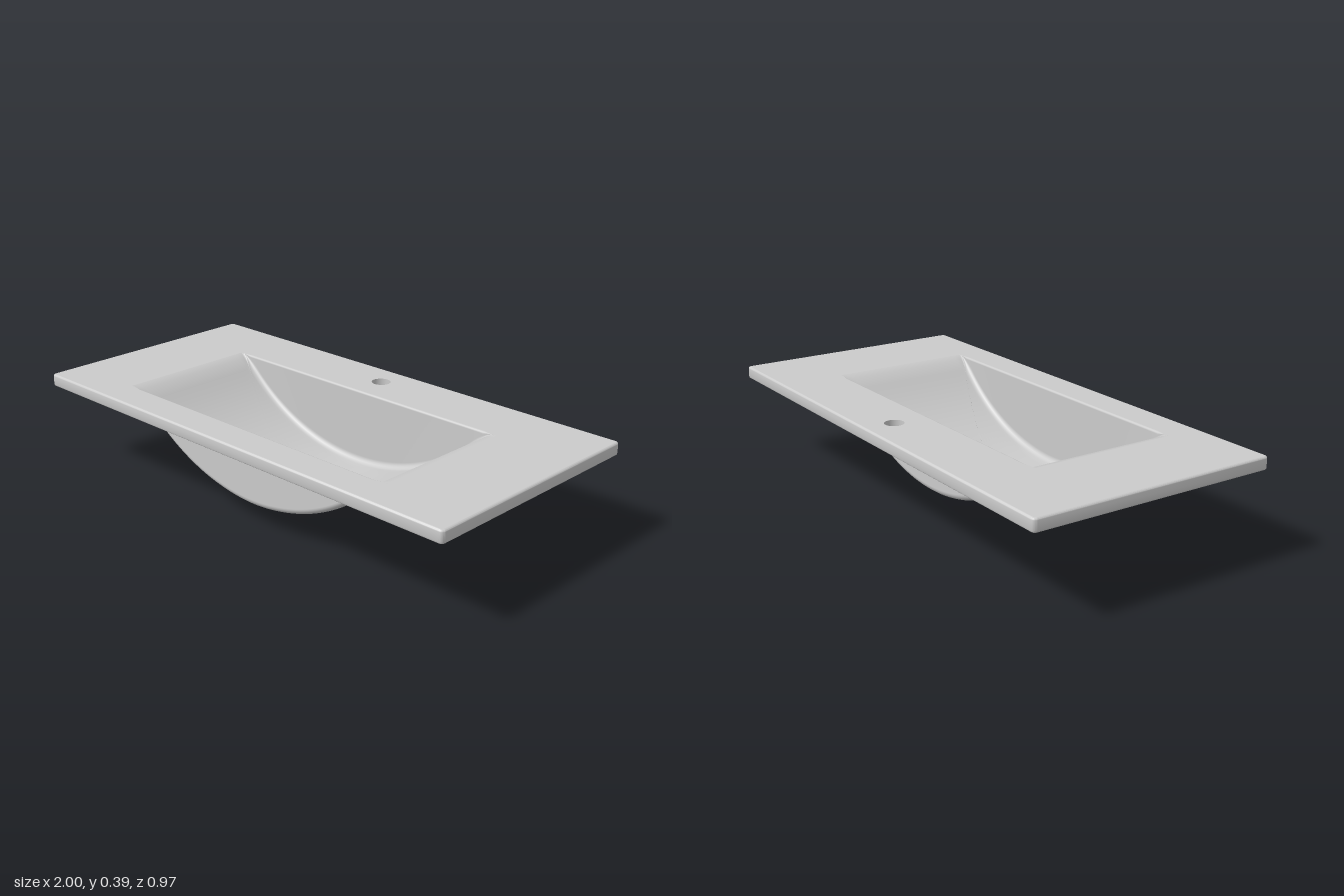
import * as THREE from 'three';
import { toCreasedNormals } from 'three/addons/utils/BufferGeometryUtils.js';

const TOP = 0.386, BOTTOM = 0.337, RECESS = 0.347; // countertop levels
const HX = 1, HZ = 0.485;                          // countertop half sizes
const DRAIN_Z = 0.08, DRAIN_R = 0.045;
const TAP = { z: -0.365, r: 0.037 };
const BACK = -0.226, FRONT = 0.347, END = 0.66;    // basin footprint
const ARC_R = 0.828, FLOOR = 0.095;

const material = new THREE.MeshStandardMaterial({ color: 0xcccccc });
const thin = new THREE.MeshStandardMaterial({ color: 0xcccccc, side: THREE.DoubleSide });

function addMesh(group, name, geometry, mat = material) {
  const mesh = new THREE.Mesh(geometry, mat);
  mesh.name = name;
  group.add(mesh);
  return mesh;
}

// Skin a series of closed rings of [x, y, z] points
function loft(rings) {
  const n = rings[0].length, index = [];
  for (let i = 0; i < rings.length - 1; i++) {
    for (let j = 0; j < n; j++) {
      const k = (j + 1) % n;
      const a = i * n + j, b = i * n + k, c = a + n, d = b + n;
      index.push(a, b, c, b, d, c);
    }
  }
  const geo = new THREE.BufferGeometry();
  geo.setAttribute('position', new THREE.Float32BufferAttribute(rings.flat(2), 3));
  geo.setIndex(index);
  geo.computeVertexNormals();
  return geo;
}

// Rounded rectangle ring at height y
function rectRing(hx, hz, r, y) {
  const ring = [];
  [[-1, -1], [1, -1], [1, 1], [-1, 1]].forEach(([sx, sz], c) => {
    for (let i = 0; i <= 5; i++) {
      const a = Math.PI + (c + i / 5) * Math.PI / 2;
      ring.push([sx * (hx - r) + r * Math.cos(a), y, sz * (hz - r) + r * Math.sin(a)]);
    }
  });
  return ring;
}

// Flat face with a basin opening and a tap hole, facing up (1) or down (-1)
function flatFace(outline, opening, y, facing) {
  const flat = (ring) => ring.map(([x, , z]) => new THREE.Vector2(x, -facing * z));
  const shape = new THREE.Shape(flat(outline));
  shape.holes.push(new THREE.Path(flat(opening)));
  shape.holes.push(new THREE.Path().absarc(0, -facing * TAP.z, TAP.r, 0, Math.PI * 2, true));
  return new THREE.ShapeGeometry(shape, 24).rotateX(-facing * Math.PI / 2).translate(0, y, 0);
}

// Basin floor: arc across x, sloping to the drain, blended softly into the top
function floorHeight(x, z) {
  const rho = Math.hypot(x, z - DRAIN_Z);
  const dip = 0.015 * Math.max(0, 1 - rho / 0.3) + 0.012 * Math.exp(-(rho - DRAIN_R) / 0.015);
  const y = FLOOR + ARC_R - Math.sqrt(ARC_R * ARC_R - x * x) - dip;
  const k = 0.025, h = Math.max(k - Math.abs(y - TOP), 0) / k;
  return Math.min(y, TOP) - h * h * k / 4;
}

// Rings from the drain hole over the floor, up the walls and over the lip
function basinRings() {
  const edge = []; // points around the footprint: x, z and wall direction
  const nx = 72, nz = 24;
  for (let i = 0; i < nx; i++) edge.push([-END + 2 * END * i / nx, BACK, -1]);
  for (let i = 0; i < nz; i++) edge.push([END, BACK + (FRONT - BACK) * i / nz, 0]);
  for (let i = 0; i < nx; i++) edge.push([END - 2 * END * i / nx, FRONT, 1]);
  for (let i = 0; i < nz; i++) edge.push([-END, FRONT - (FRONT - BACK) * i / nz, 0]);
  const walls = edge.map(([x, z, s]) => {
    const y = floorHeight(x, z), depth = TOP - y;
    return { x, z, s, y, fillet: s ? Math.min(0.025, 0.45 * depth) : 0, lip: s ? Math.min(0.008, 0.3 * depth) : 0 };
  });
  const rings = [];
  const floorSteps = 26;
  for (let i = 0; i < floorSteps; i++) {
    const t = (i / floorSteps) ** 1.6;
    rings.push(walls.map((w) => {
      const z1 = w.z - w.s * w.fillet, a = Math.atan2(z1 - DRAIN_Z, w.x);
      const x = THREE.MathUtils.lerp(DRAIN_R * Math.cos(a), w.x, t);
      const z = THREE.MathUtils.lerp(DRAIN_Z + DRAIN_R * Math.sin(a), z1, t);
      return [x, floorHeight(x, z), z];
    }));
  }
  for (let i = 0; i <= 6; i++) {
    const a = i / 6 * Math.PI / 2;
    rings.push(walls.map((w) => [w.x, w.y + w.fillet * (1 - Math.cos(a)), w.z - w.s * w.fillet * (1 - Math.sin(a))]));
  }
  for (let i = 0; i <= 4; i++) {
    const a = i / 4 * Math.PI / 2;
    rings.push(walls.map((w) => [w.x, TOP - w.lip * (1 - Math.sin(a)), w.z + w.s * w.lip * (1 - Math.cos(a))]));
  }
  return rings;
}

export function createModel() {
  const model = new THREE.Group();
  model.name = 'washbasin';

  // Countertop edge, rounded above and below, with the rim under it
  const r = 0.008, edge = [];
  const inset = (d, y) => rectRing(HX - d, HZ - d, 0.016 - d, y);
  for (let i = 0; i <= 4; i++) {
    const a = i / 4 * Math.PI / 2;
    edge.push(inset(r * (1 - Math.sin(a)), TOP - r * (1 - Math.cos(a))));
  }
  for (let i = 0; i <= 4; i++) {
    const a = i / 4 * Math.PI / 2;
    edge.push(inset(r * (1 - Math.cos(a)), BOTTOM + r * (1 - Math.sin(a))));
  }
  const outline = edge[0];
  edge.push(rectRing(HX - 0.07, HZ - 0.045, 0.005, BOTTOM));
  const recess = rectRing(HX - 0.07, HZ - 0.045, 0.005, RECESS);
  edge.push(recess);
  addMesh(model, 'countertopEdge', toCreasedNormals(loft(edge), 0.6));

  // Basin bowl
  const rings = basinRings();
  addMesh(model, 'basin', loft(rings), thin);

  // Countertop top and recessed underside
  addMesh(model, 'countertopTop', flatFace(outline, rings[rings.length - 1], TOP, 1));
  const sag = ARC_R + FLOOR - RECESS;
  const bx = Math.sqrt(ARC_R * ARC_R - sag * sag);
  const under = [[-bx, 0, BACK], [bx, 0, BACK], [bx, 0, FRONT], [-bx, 0, FRONT]];
  addMesh(model, 'countertopUnderside', flatFace(recess, under, RECESS, -1));

  // Tap hole lining
  const tap = addMesh(model, 'tapHole',
    new THREE.CylinderGeometry(TAP.r, TAP.r, TOP - RECESS, 48, 1, true), thin);
  tap.position.set(0, (TOP + RECESS) / 2, TAP.z);

  // Flared drain pipe
  const pipe = addMesh(model, 'drainPipe',
    new THREE.CylinderGeometry(DRAIN_R, 0.053, 0.072, 48, 1, true), thin);
  pipe.position.set(0, 0.036, DRAIN_Z);

  return model;
}
